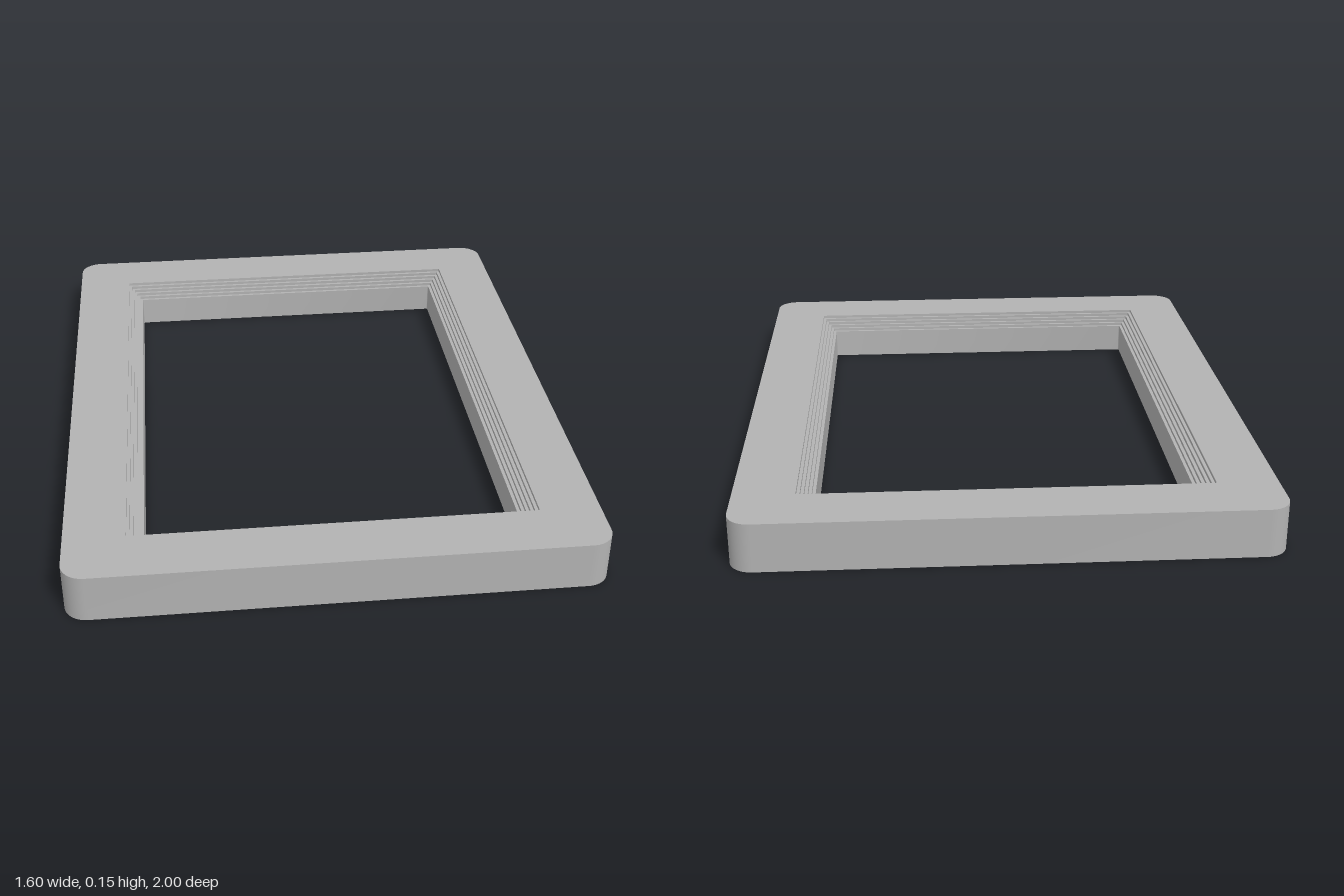
import * as THREE from 'three';
import { toCreasedNormals } from 'three/addons/utils/BufferGeometryUtils.js';

const HALF_X = 0.8, HALF_Z = 1, CORNER = 0.07, HEIGHT = 0.15;
const GROOVE = 0.05, RIM = 0.03, LIP = 0.15, OPENING = 0.235;

// Rounded rectangle, inset from the outer outline, as a loop of points
function outline(inset, y, segments = 12) {
  const r = Math.max(CORNER - inset, 0.004);
  const points = [];
  for (let q = 0; q < 4; q++) {
    const sx = q === 0 || q === 3 ? 1 : -1;
    const sz = q < 2 ? 1 : -1;
    for (let i = 0; i <= segments; i++) {
      const a = (q + i / segments) * Math.PI / 2;
      points.push([
        sx * (HALF_X - inset - r) + r * Math.cos(a),
        y,
        sz * (HALF_Z - inset - r) + r * Math.sin(a),
      ]);
    }
  }
  return points;
}

// Skin a closed profile of [inset, y] pairs around the frame
function sweepProfile(profile) {
  const loops = profile.map(([inset, y]) => outline(inset, y));
  const n = loops[0].length;
  const index = [];
  for (let i = 0; i < loops.length; i++) {
    const next = (i + 1) % loops.length;
    for (let j = 0; j < n; j++) {
      const k = (j + 1) % n;
      const a = i * n + j, b = next * n + j, c = next * n + k, d = i * n + k;
      index.push(a, b, d, b, c, d);
    }
  }
  const geometry = new THREE.BufferGeometry();
  geometry.setAttribute('position', new THREE.Float32BufferAttribute(loops.flat(2), 3));
  geometry.setIndex(index);
  return toCreasedNormals(geometry, 0.5);
}

export function createModel() {
  const group = new THREE.Group();
  group.name = 'frame';
  const grey = new THREE.MeshStandardMaterial({ color: 0xb2b2b2 });
  grey.name = 'grey';

  // Outer wall and top, then the small steps down into the opening
  const profile = [[0, 0], [0, HEIGHT]];
  const steps = 5;
  for (let i = 0; i < steps; i++) {
    const inset = 0.185 + i * 0.01;
    profile.push([inset, HEIGHT - i * 0.01], [inset, HEIGHT - (i + 1) * 0.01]);
  }
  // Opening wall, inner lip, underside groove and outer rim
  profile.push([OPENING, HEIGHT - steps * 0.01], [OPENING, 0],
    [LIP, 0], [LIP, GROOVE], [RIM, GROOVE], [RIM, 0]);

  const body = new THREE.Mesh(sweepProfile(profile), grey);
  body.name = 'frameBody';
  group.add(body);

  // Small ribs on the groove side of the inner lip
  const ribs = new THREE.Group();
  ribs.name = 'grooveRibs';
  const addRib = (w, d, x, z) => {
    const rib = new THREE.Mesh(new THREE.BoxGeometry(w, GROOVE - 0.004, d), grey);
    rib.name = 'rib';
    rib.position.set(x, GROOVE / 2 + 0.002, z);
    ribs.add(rib);
  };
  for (const side of [-1, 1]) {
    for (let i = 0; i < 6; i++) {
      const t = i - 2.5;
      addRib(0.02, 0.012, side * (HALF_X - LIP + 0.009), t * 0.234);
      addRib(0.012, 0.02, t * 0.204, side * (HALF_Z - LIP + 0.009));
    }
  }
  group.add(ribs);
  return group;
}
